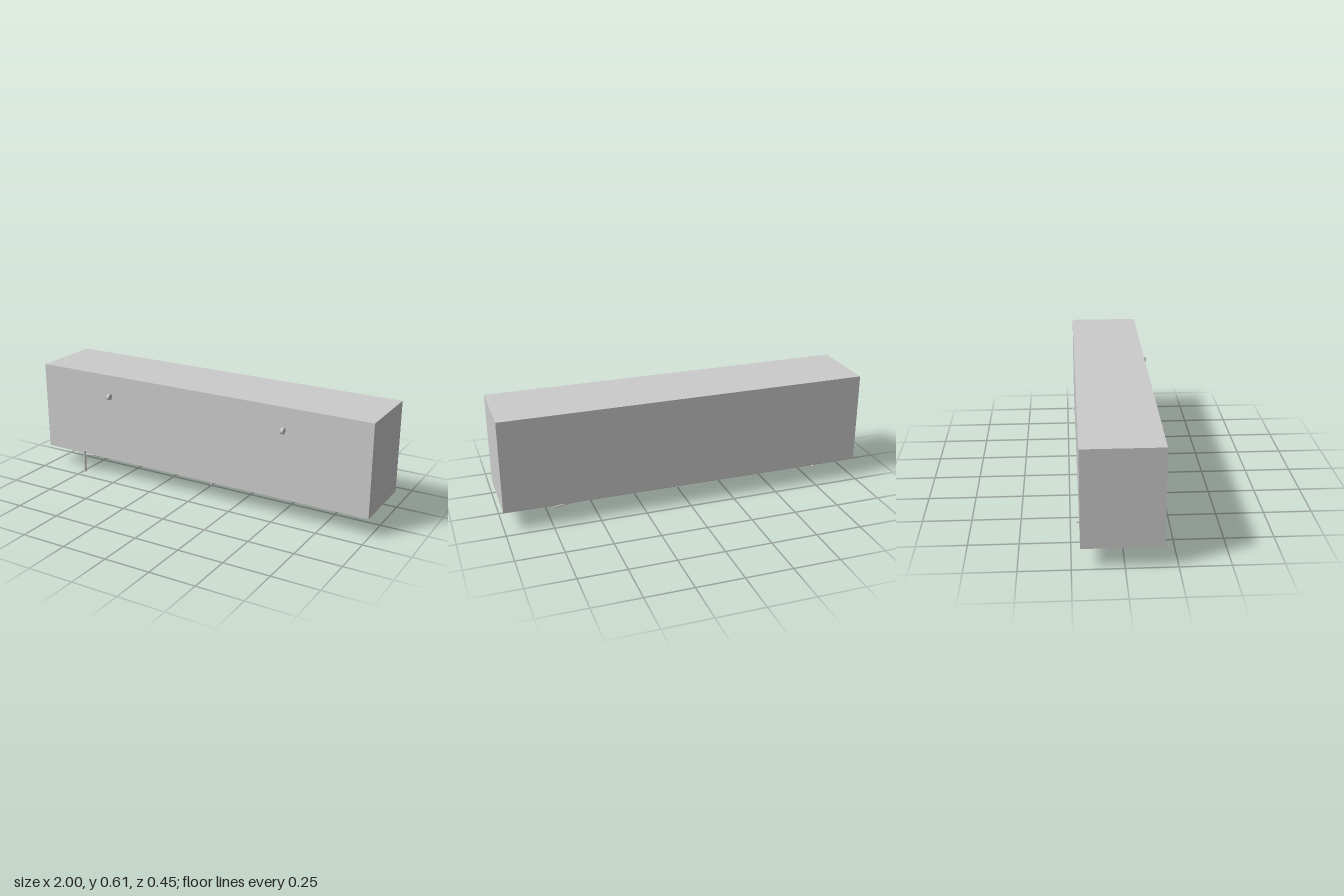
import * as THREE from 'three';

const material = new THREE.MeshStandardMaterial({ color: 0xcccccc });

export function createModel() {
  const model = new THREE.Group();

  const add = (name, geometry, x, y, z) => {
    const mesh = new THREE.Mesh(geometry, material);
    mesh.name = name;
    mesh.position.set(x, y, z);
    model.add(mesh);
    return mesh;
  };
  const box = (name, w, h, d, x, y, z) => add(name, new THREE.BoxGeometry(w, h, d), x, y, z);

  // Round bar between two points
  const rod = (name, from, to, radius) => {
    const a = new THREE.Vector3(...from), b = new THREE.Vector3(...to);
    const dir = b.clone().sub(a);
    const mid = a.clone().add(b).multiplyScalar(0.5);
    const mesh = add(name, new THREE.CylinderGeometry(radius, radius, dir.length(), 24), mid.x, mid.y, mid.z);
    mesh.quaternion.setFromUnitVectors(new THREE.Vector3(0, 1, 0), dir.normalize());
    return mesh;
  };

  // Long cabinet body
  box('cabinet', 2, 0.5, 0.392, 0, 0.36, -0.012);

  // Disc knobs on short stems
  for (const x of [-0.533, 0.533]) {
    rod('knobStem', [x, 0.493, 0.18], [x, 0.493, 0.2], 0.004);
    rod('knob', [x - 0.007, 0.493, 0.208], [x + 0.007, 0.493, 0.208], 0.0165);
  }

  // Legs
  rod('cornerLeg', [-0.74, 0, 0.192], [-0.74, 0.127, 0.192], 0.0075);
  rod('centreLeg', [-0.003, 0, -0.012], [-0.003, 0.107, -0.012], 0.0075);

  // Support bars under the body
  rod('diagonalBar', [-0.74, 0.106, 0.192], [0.738, 0.106, -0.22], 0.0045);
  rod('crossBar', [-0.74, 0.106, 0.192], [-0.74, 0.106, -0.221], 0.0045);

  // Thin mounting plate above the centre leg
  box('centrePlate', 0.17, 0.005, 0.044, 0, 0.1085, -0.01);

  // Narrow slats and pad beside the corner leg
  for (const x of [-0.645, -0.575])
    box('slat', 0.006, 0.004, 0.34, x, 0.109, -0.022);
  box('slatPad', 0.07, 0.005, 0.018, -0.61, 0.1085, 0.154);

  return model;
}
